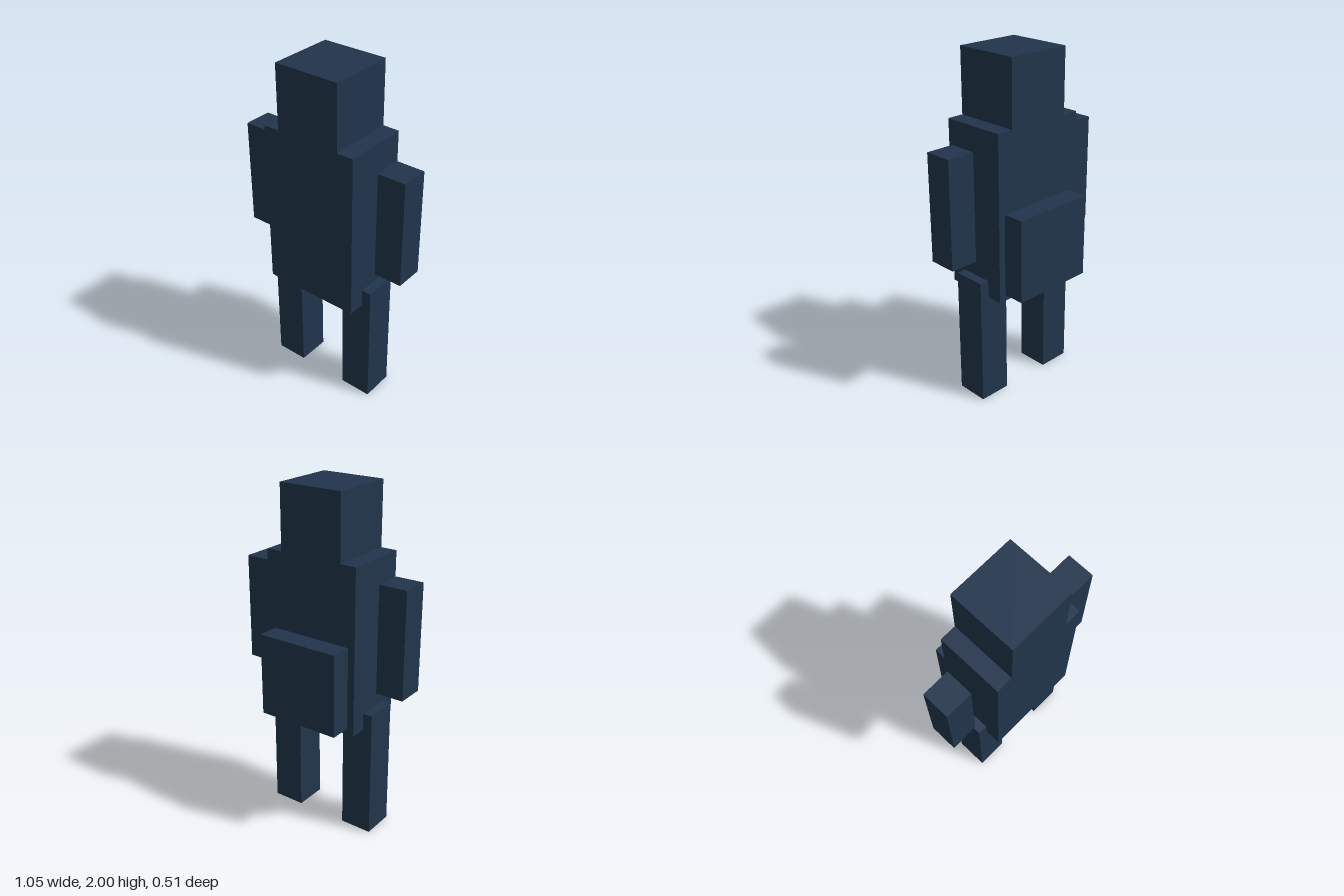
import * as THREE from 'three';

export function createModel() {
  const model = new THREE.Group();
  const navy = new THREE.MeshStandardMaterial({ color: 0x22354c });
  navy.name = 'navy';

  // Box given by its extents along each axis
  function block(name, [x0, x1], [y0, y1], [z0, z1]) {
    const mesh = new THREE.Mesh(new THREE.BoxGeometry(x1 - x0, y1 - y0, z1 - z0), navy);
    mesh.position.set((x0 + x1) / 2, (y0 + y1) / 2, (z0 + z1) / 2);
    mesh.name = name;
    model.add(mesh);
  }

  // Body
  block('torso', [-0.291, 0.288], [0.662, 1.63], [-0.13, 0.255]);
  block('head', [-0.195, 0.191], [1.63, 2], [-0.13, 0.255]);
  block('backpack', [-0.25, 0.247], [0.698, 1.18], [-0.255, -0.13]);

  // Limbs
  block('leftArm', [0.36, 0.525], [0.905, 1.525], [-0.021, 0.144]);
  block('rightArm', [-0.528, -0.363], [0.905, 1.525], [-0.021, 0.144]);
  block('leftLeg', [0.153, 0.344], [0, 0.764], [-0.035, 0.157]);
  block('rightLeg', [-0.348, -0.157], [0, 0.764], [-0.035, 0.157]);

  return model;
}
